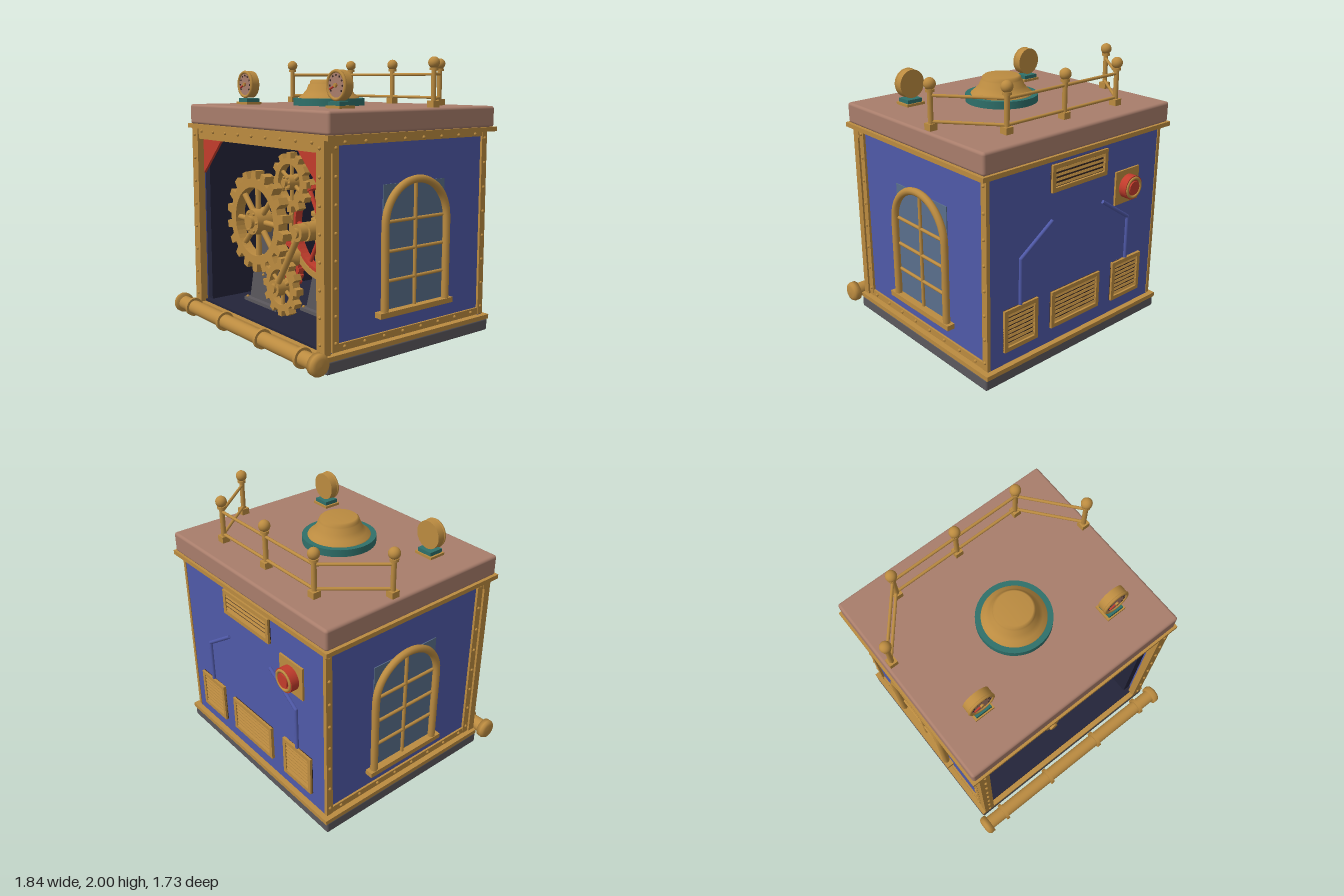
import * as THREE from 'three';
import { RoundedBoxGeometry } from 'three/addons/geometries/RoundedBoxGeometry.js';

const mat = (name, color) => {
  const m = new THREE.MeshStandardMaterial({ color });
  m.name = name;
  return m;
};

export function createModel() {
  const brass = mat('brass', 0xbb8b40), roofPink = mat('roof pink', 0xa87d6b), blue = mat('panel blue', 0x4f59a8),
    navy = mat('interior navy', 0x23243a), grey = mat('iron grey', 0x5b585d), red = mat('red', 0xc23c2c),
    teal = mat('teal', 0x2f706a), glass = mat('window glass', 0x5a6f8c), dark = mat('dark marks', 0x3a2a26);
  const model = new THREE.Group();
  model.name = 'machineHouse';

  const add = (name, geo, m, x = 0, y = 0, z = 0, parent = model) => {
    const mesh = new THREE.Mesh(geo, m);
    mesh.name = name;
    mesh.position.set(x, y, z);
    parent.add(mesh);
    return mesh;
  };
  const group = (name, x = 0, y = 0, z = 0) => {
    const g = new THREE.Group();
    g.name = name;
    g.position.set(x, y, z);
    model.add(g);
    return g;
  };
  // Box given by its limits on each axis
  const box = (name, m, x0, x1, y0, y1, z0, z1, parent = model) =>
    add(name, new THREE.BoxGeometry(x1 - x0, y1 - y0, z1 - z0), m, (x0 + x1) / 2, (y0 + y1) / 2, (z0 + z1) / 2, parent);
  const disc = (r, h, seg = 32, r2 = r) => new THREE.CylinderGeometry(r2, r, h, seg);
  const discZ = (r, h, seg = 32, r2 = r) => disc(r, h, seg, r2).rotateX(Math.PI / 2);
  // Round bar between two points
  const bar = (name, m, a, b, r, parent = model) => {
    const A = new THREE.Vector3(...a), B = new THREE.Vector3(...b), d = B.clone().sub(A);
    const mesh = add(name, disc(r, d.length(), 10), m, 0, 0, 0, parent);
    mesh.position.copy(A).add(B).multiplyScalar(0.5);
    mesh.quaternion.setFromUnitVectors(new THREE.Vector3(0, 1, 0), d.normalize());
  };
  const rivetGeo = new THREE.SphereGeometry(0.012, 8, 6);
  const rivet = (x, y, z, parent = model) => add('rivet', rivetGeo, brass, x, y, z, parent);
  const extrude = (shape, depth) => new THREE.ExtrudeGeometry(shape, { depth, bevelEnabled: false, curveSegments: 24 });

  // Base, trims and roof
  add('base', new RoundedBoxGeometry(1.72, 0.09, 1.51, 2, 0.015), grey, 0, 0.045, -0.055);
  box('baseTrim', brass, -0.86, 0.86, 0.085, 0.118, -0.82, 0.70);
  box('roofTrim', brass, -0.885, 0.885, 1.48, 1.512, -0.825, 0.71);
  add('roof', new RoundedBoxGeometry(1.74, 0.15, 1.51, 3, 0.02), roofPink, 0, 1.585, -0.06);

  // Walls and dark interior
  box('backWall', blue, -0.82, 0.82, 0.11, 1.49, -0.78, -0.74);
  box('interiorBack', navy, -0.75, 0.75, 0.11, 1.49, -0.45, -0.42);
  box('interiorFloor', navy, -0.78, 0.78, 0.11, 0.135, -0.45, 0.66);
  box('interiorCeiling', navy, -0.78, 0.78, 1.42, 1.47, -0.45, 0.62);
  box('frontBeam', brass, -0.833, 0.833, 1.40, 1.49, 0.63, 0.69);
  for (let x = -0.7; x < 0.75; x += 0.175) rivet(x, 1.46, 0.692);
  for (const s of [-1, 1]) {
    const side = (n, m, a, b, ...r) => box(n, m, Math.min(s * a, s * b), Math.max(s * a, s * b), ...r);
    side('sideWall', blue, 0.78, 0.81, 0.11, 1.49, -0.78, 0.66);
    side('interiorSide', navy, 0.715, 0.782, 0.11, 1.47, -0.45, 0.62);
    side('frontPillar', brass, 0.75, 0.833, 0.115, 1.49, 0.645, 0.70);
    side('sideStripFront', brass, 0.80, 0.828, 0.125, 1.48, 0.58, 0.63);
    side('sideStripBack', brass, 0.80, 0.828, 0.125, 1.48, -0.785, -0.735);
    side('sideStripBottom', brass, 0.80, 0.825, 0.125, 0.175, -0.78, 0.62);
    side('sideStripTop', brass, 0.80, 0.825, 1.445, 1.48, -0.78, 0.62);
    for (let i = 0; i < 8; i++) {
      const y = 0.185 + i * 0.178;
      rivet(s * 0.79, y, 0.702);
      rivet(s * 0.828, y, 0.605);
      rivet(s * 0.828, y, -0.76);
      const z = -0.66 + i * 0.17;
      rivet(s * 0.826, 0.152, z);
      rivet(s * 0.826, 1.463, z);
    }
    // Red corner brace
    const tri = new THREE.Shape();
    tri.moveTo(0.752, 1.402); tri.lineTo(0.752, 1.135); tri.lineTo(0.48, 1.402);
    if (s < 0) { tri.curves.forEach(c => { c.v1.x *= -1; c.v2.x *= -1; }); tri.currentPoint.x *= -1; }
    add('cornerBrace', extrude(tri, 0.02), red, 0, 0, 0.63);

    // Arched side window
    const zc = -0.085, w = 0.285, spring = 0.905;
    side('windowGlass', glass, 0.805, 0.816, 0.31, 1.17, -0.37, 0.20);
    const pts = [[0.3, w], [0.6, w]];
    for (let i = 0; i <= 16; i++) pts.push([spring + w * Math.sin(i * Math.PI / 16), w * Math.cos(i * Math.PI / 16)]);
    pts.push([0.6, -w], [0.3, -w]);
    const curve = new THREE.CatmullRomCurve3(pts.map(([y, z]) => new THREE.Vector3(s * 0.84, y, zc + z)));
    add('windowFrame', new THREE.TubeGeometry(curve, 72, 0.027, 10), brass);
    side('windowSill', brass, 0.81, 0.87, 0.285, 0.322, -0.42, 0.26);
    bar('windowMullion', brass, [s * 0.825, 0.31, zc], [s * 0.825, 1.18, zc], 0.013);
    for (const y of [0.52, 0.72, 0.92]) bar('windowBar', brass, [s * 0.825, y, zc - w], [s * 0.825, y, zc + w], 0.012);
  }

  // Front pipe with collars and rounded caps
  const pipe = group('frontPipe', 0, 0.1, 0.785);
  add('pipeBody', disc(0.052, 1.76).rotateZ(Math.PI / 2), brass, 0, 0, 0, pipe);
  for (const x of [-0.715, -0.25, 0.25, 0.715]) add('pipeCollar', disc(0.07, 0.026).rotateZ(Math.PI / 2), brass, x, 0, 0, pipe);
  const capProfile = [[0, 0], [0.074, 0], [0.075, 0.035], [0.066, 0.052], [0.045, 0.06], [0, 0.062]].map(p => new THREE.Vector2(...p));
  for (const s of [-1, 1]) add('pipeCap', new THREE.LatheGeometry(capProfile, 24).rotateZ(-s * Math.PI / 2), brass, s * 0.858, 0, 0, pipe);

  // Roof chimney
  add('chimneyRing', disc(0.262, 0.055, 48), teal, 0, 1.685, 0.015);
  const dome = [[0.225, 0], [0.22, 0.012], [0.19, 0.035], [0.165, 0.065], [0.148, 0.105], [0.14, 0.11], [0.14, 0.125], [0.125, 0.138], [0, 0.138]];
  add('chimneyDome', new THREE.LatheGeometry(dome.map(p => new THREE.Vector2(...p)), 48), brass, 0, 1.708, 0.015);

  // Roof railing
  const posts = [[-0.82, -0.24], [-0.51, -0.615], [0, -0.615], [0.51, -0.615], [0.82, -0.24]];
  posts.forEach(([x, z], i) => {
    const p = group('railPost', x, 1.66, z);
    box('postFoot', brass, -0.03, 0.03, 0, 0.045, -0.03, 0.03, p);
    add('postShaft', disc(0.018, 0.27, 12), brass, 0, 0.135, 0, p);
    add('postCollar', disc(0.03, 0.018, 16), brass, 0, 0.258, 0, p);
    add('postBall', new THREE.SphereGeometry(0.04, 20, 14), brass, 0, 0.3, 0, p);
    if (i) for (const y of [1.715, 1.885]) bar('rail', brass, [posts[i - 1][0], y, posts[i - 1][1]], [x, y, z], 0.011);
  });

  // Roof gauges
  for (const s of [-1, 1]) {
    const g = group('gauge', s * 0.557, 1.66, 0.355);
    box('gaugeFoot', brass, -0.075, 0.075, 0, 0.018, -0.065, 0.065, g);
    box('gaugeBlock', teal, -0.06, 0.06, 0.018, 0.045, -0.055, 0.055, g);
    add('gaugeCase', discZ(0.1, 0.06), brass, 0, 0.15, 0, g);
    add('gaugeRim', new THREE.TorusGeometry(0.092, 0.012, 8, 32), brass, 0, 0.15, 0.032, g);
    add('gaugeFace', discZ(0.084, 0.008), roofPink, 0, 0.15, 0.03, g);
    for (let i = 0; i < 9; i++) {
      const a = -0.6 + i * 0.54;
      add('gaugeTick', discZ(0.007, 0.004, 8), dark, 0.066 * Math.cos(a), 0.15 + 0.066 * Math.sin(a), 0.035, g);
    }
    bar('gaugeNeedle', red, [0.012, 0.155, 0.038], [-0.06, 0.125, 0.038], 0.007, g);
    add('gaugePin', discZ(0.014, 0.02, 12), brass, 0, 0.15, 0.038, g);
  }

  // Central column inside
  const column = group('column', 0, 0, 0.015);
  add('columnShaft', disc(0.105, 1.32), brass, 0, 0.78, 0, column);
  add('columnDrum', disc(0.22, 0.19, 40), brass, 0, 1.305, 0, column);
  add('columnDrumLip', disc(0.17, 0.05, 40, 0.22), brass, 0, 1.19, 0, column);
  for (const y of [0.16, 0.76, 0.80, 0.85]) add('columnFlange', disc(0.135, 0.025), brass, 0, y, 0, column);

  // Gear wheel: toothed rim with hole, spokes and hub
  const gear = (name, x, y, z, { tip, root, inner, teeth, spokes, hub, depth, m, spokeR }) => {
    const g = group(name, x, y, z), shape = new THREE.Shape(), step = Math.PI * 2 / teeth;
    for (let i = 0; i < teeth; i++) {
      [[-0.3, root], [-0.2, tip], [0.2, tip], [0.3, root]].forEach(([f, r], k) => {
        const a = Math.PI / 2 + (i + f) * step;
        shape[i + k ? 'lineTo' : 'moveTo'](r * Math.cos(a), r * Math.sin(a));
      });
    }
    shape.holes.push(new THREE.Path().absarc(0, 0, inner, 0, Math.PI * 2, true));
    add('rim', extrude(shape, depth), m, 0, 0, -depth / 2, g);
    for (let i = 0; i < spokes; i++) {
      const a = Math.PI / 2 + i * Math.PI * 2 / spokes, r = inner + 0.01;
      bar('spoke', m, [0, 0, 0], [r * Math.cos(a), r * Math.sin(a), 0], spokeR, g);
    }
    add('hub', discZ(hub, depth + 0.05, 32, hub * 0.9), brass, 0, 0, 0, g);
    add('hubCap', discZ(hub * 0.45, depth + 0.1, 20), brass, 0, 0, 0, g);
    for (let i = 0; i < 6; i++) rivet(hub * 0.7 * Math.cos(i * Math.PI / 3), hub * 0.7 * Math.sin(i * Math.PI / 3), depth / 2 + 0.025, g);
    return g;
  };
  gear('largeGear', -0.33, 0.79, 0.43, { tip: 0.385, root: 0.325, inner: 0.26, teeth: 18, spokes: 8, hub: 0.105, depth: 0.08, m: brass, spokeR: 0.022 });
  gear('topGear', -0.03, 1.11, 0.33, { tip: 0.22, root: 0.178, inner: 0.135, teeth: 12, spokes: 6, hub: 0.06, depth: 0.06, m: brass, spokeR: 0.015 });
  gear('lowerGear', 0, 0.355, 0.44, { tip: 0.215, root: 0.175, inner: 0.13, teeth: 12, spokes: 6, hub: 0.06, depth: 0.06, m: brass, spokeR: 0.015 });
  gear('rearGearLeft', 0.42, 0.43, 0.14, { tip: 0.195, root: 0.16, inner: 0.125, teeth: 14, spokes: 6, hub: 0.045, depth: 0.05, m: red, spokeR: 0.013 });
  gear('rearGearRight', -0.40, 0.40, 0.14, { tip: 0.22, root: 0.21, inner: 0.175, teeth: 24, spokes: 6, hub: 0.045, depth: 0.05, m: red, spokeR: 0.013 });
  add('idlerNut', discZ(0.075, 0.1, 6, 0.05), brass, 0.0, 0.565, 0.36);

  // Flywheel: brass tyre, red inner ring and spokes
  const fly = group('flywheel', 0.285, 0.805, 0.29);
  const ring = (name, m, r1, r0, d) => {
    const s = new THREE.Shape().absarc(0, 0, r1, 0, Math.PI * 2, false);
    s.holes.push(new THREE.Path().absarc(0, 0, r0, 0, Math.PI * 2, true));
    add(name, extrude(s, d), m, 0, 0, -d / 2, fly);
  };
  ring('tyre', brass, 0.362, 0.318, 0.08);
  ring('innerRing', red, 0.32, 0.292, 0.06);
  for (let i = 0; i < 6; i++) {
    const a = i * Math.PI / 3;
    bar('flywheelSpoke', red, [0, 0, 0], [0.3 * Math.cos(a), 0.3 * Math.sin(a), 0], 0.016, fly);
  }
  add('flywheelHub', discZ(0.068, 0.2), brass, 0, 0, 0.06, fly);
  add('flywheelAxle', discZ(0.04, 0.3), brass, 0, 0, 0.08, fly);

  // Connecting rod
  bar('connectingRod', brass, [0.285, 0.805, 0.49], [0, 0.355, 0.5], 0.024);
  for (const [x, y] of [[0.285, 0.805], [0, 0.355]]) {
    add('rodEnd', discZ(0.062, 0.06), brass, x, y, 0.49);
    add('rodPin', discZ(0.035, 0.1), brass, x, y, 0.49);
  }

  // Tapered iron stands
  for (const [x, w, z] of [[-0.33, 0.2, 0.34], [0.225, 0.245, 0.17]]) {
    const s = new THREE.Shape([[-w, 0.13], [w, 0.13], [0.06, 0.74], [-0.06, 0.74]].map(p => new THREE.Vector2(...p)));
    add('stand', extrude(s, 0.05), grey, x, 0, z);
    box('standFoot', grey, x - w - 0.02, x + w + 0.02, 0.13, 0.16, z - 0.04, z + 0.09);
    for (const dx of [-w, w]) rivet(x + dx, 0.163, z + 0.07);
    rivet(x, 0.37, z + 0.052);
  }

  // Back vents with slats
  for (const [x, y, w, h] of [[0.015, 1.345, 0.53, 0.19], [0.54, 0.375, 0.3, 0.31], [0.02, 0.375, 0.48, 0.28], [-0.515, 0.375, 0.31, 0.31]]) {
    const v = group('backVent', x, y, -0.78);
    box('ventBacking', dark, -w / 2, w / 2, -h / 2, h / 2, -0.006, 0, v);
    for (const s of [-1, 1]) {
      add('ventSide', new THREE.BoxGeometry(0.03, h, 0.025), brass, s * (w / 2 - 0.015), 0, -0.01, v);
      add('ventEdge', new THREE.BoxGeometry(w, 0.03, 0.025), brass, 0, s * (h / 2 - 0.015), -0.01, v);
    }
    const n = Math.round((h - 0.06) / 0.03);
    for (let i = 0; i < n; i++) {
      add('ventSlat', new THREE.BoxGeometry(w - 0.05, 0.017, 0.014), brass, 0, -h / 2 + 0.03 + (i + 0.5) * (h - 0.06) / n, -0.01, v).rotation.x = 0.4;
    }
  }

  // Back conduits
  for (const [x, x2] of [[0.54, 0.26], [-0.51, -0.23]]) {
    bar('conduit', blue, [x, 0.5, -0.787], [x, 0.86, -0.787], 0.014);
    bar('conduitBend', blue, [x, 0.86, -0.787], [x2, 1.05, -0.787], 0.014);
    add('conduitJoint', new THREE.SphereGeometry(0.014, 10, 8), blue, x, 0.86, -0.787);
  }

  // Back button on its plate
  box('buttonPlate', brass, -0.6, -0.355, 0.985, 1.235, -0.795, -0.77);
  add('button', discZ(0.088, 0.07), red, -0.478, 1.11, -0.82);
  add('buttonRing', new THREE.TorusGeometry(0.07, 0.012, 8, 32), brass, -0.478, 1.11, -0.853);
  add('buttonCentre', discZ(0.05, 0.016), red, -0.478, 1.11, -0.857);
  return model;
}
